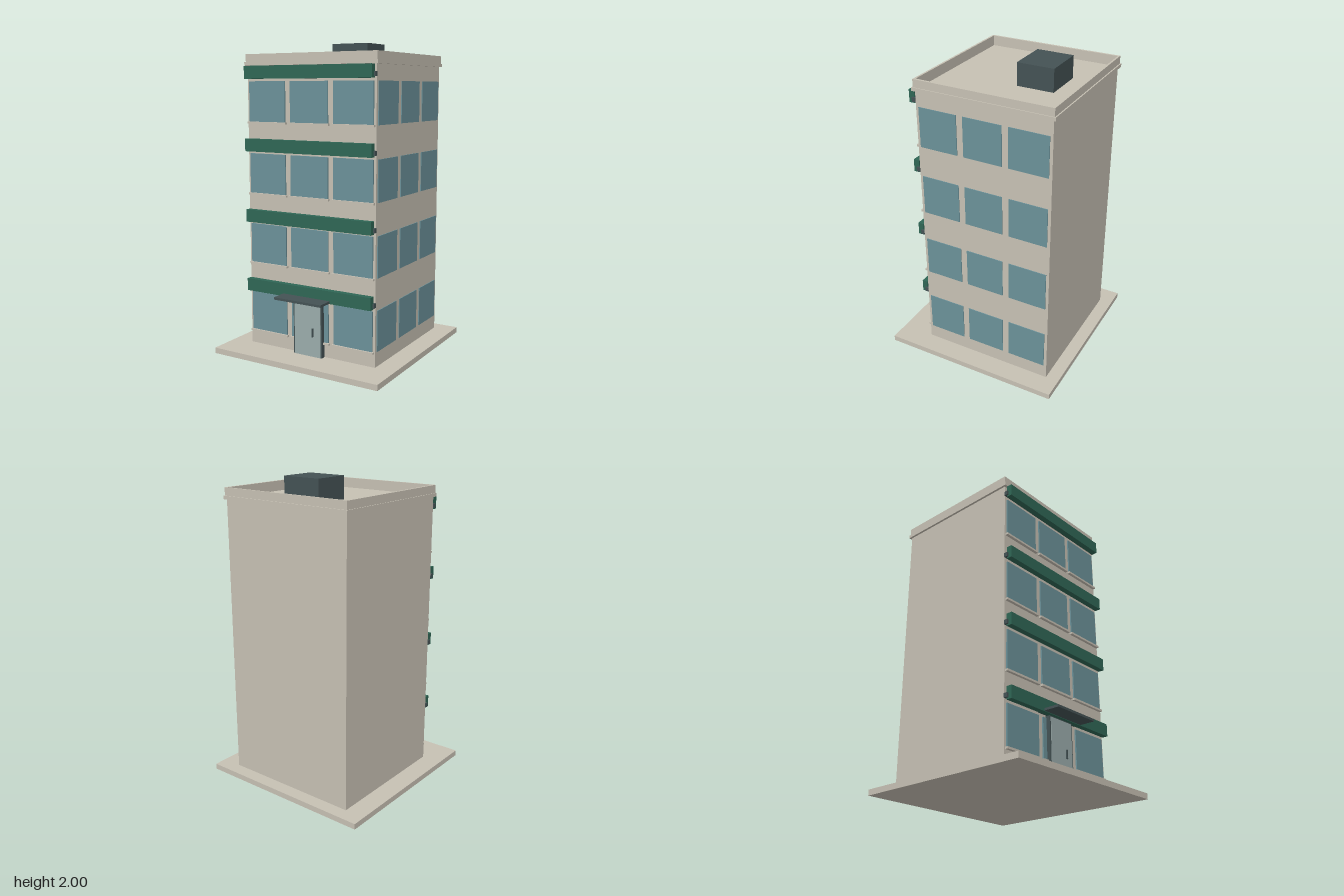
import * as THREE from 'three';

const mat = (name, color) => Object.assign(new THREE.MeshStandardMaterial({ color }), { name });

export function createModel() {
  const wall = mat('stone', 0xc6c0b3);
  const glass = mat('window glass', 0x6b9199);
  const green = mat('awning green', 0x2f6655);
  const dark = mat('dark metal', 0x445254);
  const doorGrey = mat('door grey', 0x9aabaa);

  const model = new THREE.Group();
  model.name = 'officeBuilding';

  // Box given by its low and high limits on each axis
  function box(name, material, [x0, x1], [y0, y1], [z0, z1], parent = model) {
    const mesh = new THREE.Mesh(new THREE.BoxGeometry(x1 - x0, y1 - y0, z1 - z0), material);
    mesh.position.set((x0 + x1) / 2, (y0 + y1) / 2, (z0 + z1) / 2);
    mesh.name = name;
    parent.add(mesh);
    return mesh;
  }

  // Rectangular ring lying flat around the roof
  function ring(name, hx, hz, ix, iz, y0, y1) {
    const rect = (Type, a, b) => new Type([[-a, -b], [a, -b], [a, b], [-a, b]].map(p => new THREE.Vector2(...p)));
    const shape = rect(THREE.Shape, hx, hz);
    shape.holes.push(rect(THREE.Path, ix, iz));
    const geo = new THREE.ExtrudeGeometry(shape, { depth: y1 - y0, bevelEnabled: false });
    geo.rotateX(-Math.PI / 2);
    const mesh = new THREE.Mesh(geo, wall);
    mesh.position.set(0, y0, midZ);
    mesh.name = name;
    model.add(mesh);
  }

  const hx = 0.463, front = 0.376, back = -0.51, midZ = (front + back) / 2;
  const base = 0.037, storey = 0.455;

  box('baseSlab', wall, [-0.597, 0.597], [0, base], [-0.597, 0.597]);

  for (let i = 0; i < 4; i++) {
    const y = base + i * storey;
    const floor = new THREE.Group();
    floor.name = `floor${i + 1}`;
    model.add(floor);
    box('walls', wall, [-hx, hx], [y, y + storey], [back, front], floor);

    // Three windows on the front with sills, three on the left side
    for (const k of [-1, 0, 1]) {
      const x = k * 0.311, z = midZ + k * 0.297;
      const rows = [y + 0.095, y + 0.351];
      box('frontWindow', glass, [x - 0.136, x + 0.136], rows, [front, front + 0.009], floor);
      box('windowSill', wall, [x - 0.145, x + 0.145], [y + 0.085, y + 0.098], [front, front + 0.019], floor);
      box('sideWindow', glass, [hx, hx + 0.005], rows, [z - 0.127, z + 0.127], floor);
    }

    // Awning box carried by a dark rail
    box('awning', green, [-0.456, 0.456], [y + 0.366, y + 0.446], [0.387, 0.425], floor);
    box('awningRail', dark, [-0.467, 0.467], [y + 0.376, y + 0.404], [front, 0.4], floor);
  }

  // Roof edge
  ring('cornice', 0.477, 0.459, 0.456, 0.438, 1.85, 1.872);
  ring('parapet', 0.471, 0.451, 0.456, 0.438, 1.872, 1.922);
  box('roofUnit', dark, [-0.133, 0.133], [1.857, 2], [-0.35, -0.113]);

  // Entrance
  box('doorFrame', dark, [-0.105, 0.105], [base, 0.4], [front, 0.409]);
  box('doorPanel', doorGrey, [-0.096, 0.096], [base, 0.393], [0.405, 0.412]);
  box('doorHandle', dark, [0.036, 0.045], [0.167, 0.222], [0.412, 0.42]);
  box('entranceCanopy', dark, [-0.172, 0.172], [0.406, 0.421], [front, 0.527]);

  return model;
}
